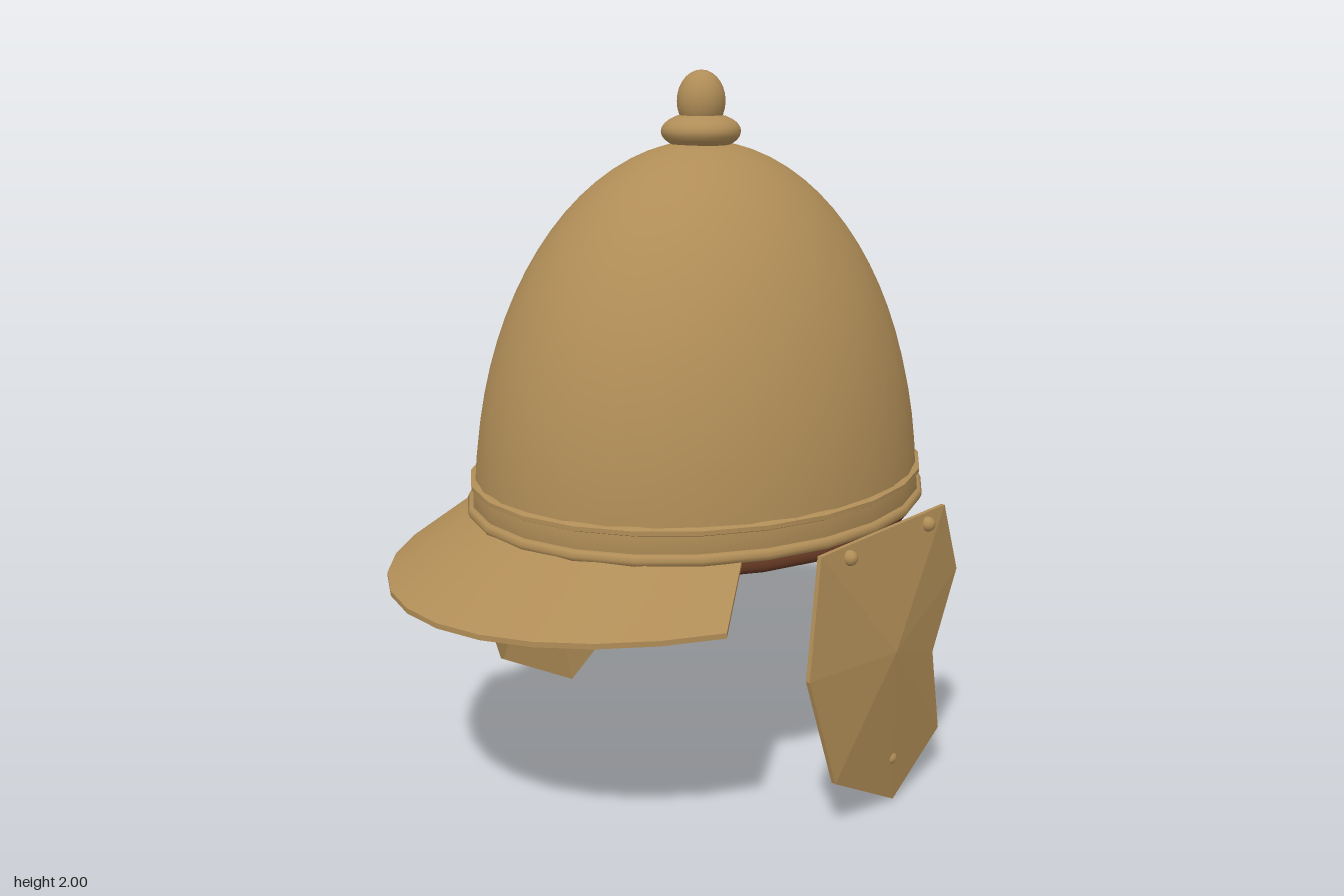
import * as THREE from 'three';
import { toCreasedNormals } from 'three/addons/utils/BufferGeometryUtils.js';

const CENTER_Z = -0.145;
const STRETCH = 1.168; // the bowl is longer than it is wide

export function createModel() {
  const model = new THREE.Group();
  const bronze = new THREE.MeshStandardMaterial({ color: 0xb08d57, side: THREE.DoubleSide });
  bronze.name = 'bronze';
  const leather = new THREE.MeshStandardMaterial({ color: 0x5c3320 });
  leather.name = 'brown leather';

  const add = (name, geometry, material = bronze, parent = model) => {
    const mesh = new THREE.Mesh(geometry, material);
    mesh.name = name;
    parent.add(mesh);
    return mesh;
  };
  const lathe = (points, segments) =>
    new THREE.LatheGeometry(points.map(([r, y]) => new THREE.Vector2(r, y)), segments);

  // Oval bowl and its rings
  const bowl = new THREE.Group();
  bowl.name = 'bowl';
  bowl.position.z = CENTER_Z;
  bowl.scale.z = STRETCH;
  model.add(bowl);

  const dome = [];
  for (let i = 0; i <= 20; i++) {
    const a = (i / 20) * Math.PI / 2;
    dome.push([0.592 * Math.cos(a), 0.81 + Math.sin(a)]);
  }
  dome[20][0] = 0;
  add('dome', lathe(dome, 32), bronze, bowl);

  const band = lathe([[0.596, 0.82], [0.6, 0.835], [0.596, 0.88], [0.604, 0.884],
    [0.604, 0.896], [0.588, 0.902]], 24);
  add('browBand', toCreasedNormals(band, 0.5), bronze, bowl);

  const ring = (name, radius, tube, y, material) => {
    const mesh = add(name, new THREE.TorusGeometry(radius, tube, 8, 24).rotateX(Math.PI / 2), material, bowl);
    mesh.position.y = y;
  };
  ring('rim', 0.596, 0.018, 0.818, bronze);
  ring('liningRing', 0.567, 0.017, 0.775, leather);

  // Crest knob
  const base = add('knobBase', new THREE.SphereGeometry(0.111, 24, 14).scale(1, 0.47, 1));
  base.position.set(0, 1.835, CENTER_Z);
  const tip = add('knobTip', new THREE.SphereGeometry(0.067, 20, 14).scale(1, 1.25, 1));
  tip.position.set(0, 1.916, CENTER_Z);

  // Closed plate from two rows of matching corners, with a given thickness
  const quad = (out, a, b, c, d) => out.push(...a, ...b, ...c, ...a, ...c, ...d);
  const faceted = (data) => {
    const g = new THREE.BufferGeometry();
    g.setAttribute('position', new THREE.Float32BufferAttribute(data, 3));
    g.computeVertexNormals();
    return g;
  };

  // Flared peak
  const peak = [];
  const steps = 10;
  const span = THREE.MathUtils.degToRad(54.3);
  const section = (i) => {
    const a = -span + (2 * span * i) / steps;
    const at = (rx, rz, y) => [rx * Math.sin(a), y, CENTER_Z + rz * Math.cos(a)];
    return [at(0.592, 0.693, 0.815), at(0.713, 1.005, 0.692),
      at(0.713, 1.005, 0.678), at(0.592, 0.693, 0.801)];
  };
  for (let i = 0; i < steps; i++) {
    const s = section(i), t = section(i + 1);
    for (let k = 0; k < 4; k++) {
      const n = (k + 1) % 4;
      quad(peak, s[k], s[n], t[n], t[k]);
    }
  }
  const first = section(0), last = section(steps);
  quad(peak, first[3], first[2], first[1], first[0]);
  quad(peak, ...last);
  add('peak', toCreasedNormals(faceted(peak), 0.3));

  // Cheek guards: outline as x, y, z around a raised middle point
  const outline = [
    [0.622, 0.81, 0.115], [0.622, 0.81, -0.48], [0.624, 0.6, -0.56], [0.652, 0.4, -0.4],
    [0.642, 0.14, -0.467], [0.64, 0.0, -0.24], [0.648, 0.165, 0.06], [0.638, 0.49, 0.175],
  ];
  const middle = [0.687, 0.485, -0.155];
  const inward = ([x, y, z]) => [x - 0.012, y, z];
  for (const side of [1, -1]) {
    const guard = new THREE.Group();
    guard.name = side > 0 ? 'leftCheekGuard' : 'rightCheekGuard';
    model.add(guard);

    const data = [];
    const flip = ([x, y, z]) => [x * side, y, z];
    const triangle = (a, b, c) => {
      const corners = side > 0 ? [a, b, c] : [a, c, b];
      corners.forEach((p) => data.push(...flip(p)));
    };
    outline.forEach((p, i) => {
      const q = outline[(i + 1) % outline.length];
      triangle(middle, q, p);
      triangle(inward(middle), inward(p), inward(q));
      triangle(p, q, inward(q));
      triangle(p, inward(q), inward(p));
    });
    add('cheekPlate', faceted(data), bronze, guard);

    // Rivets
    for (const [x, y, z] of [[0.632, 0.78, 0], [0.632, 0.78, -0.378], [0.641, 0.14, -0.212]]) {
      const rivet = add('rivet', new THREE.SphereGeometry(0.021, 12, 8), bronze, guard);
      rivet.position.set(x * side, y, z);
    }
  }
  return model;
}
